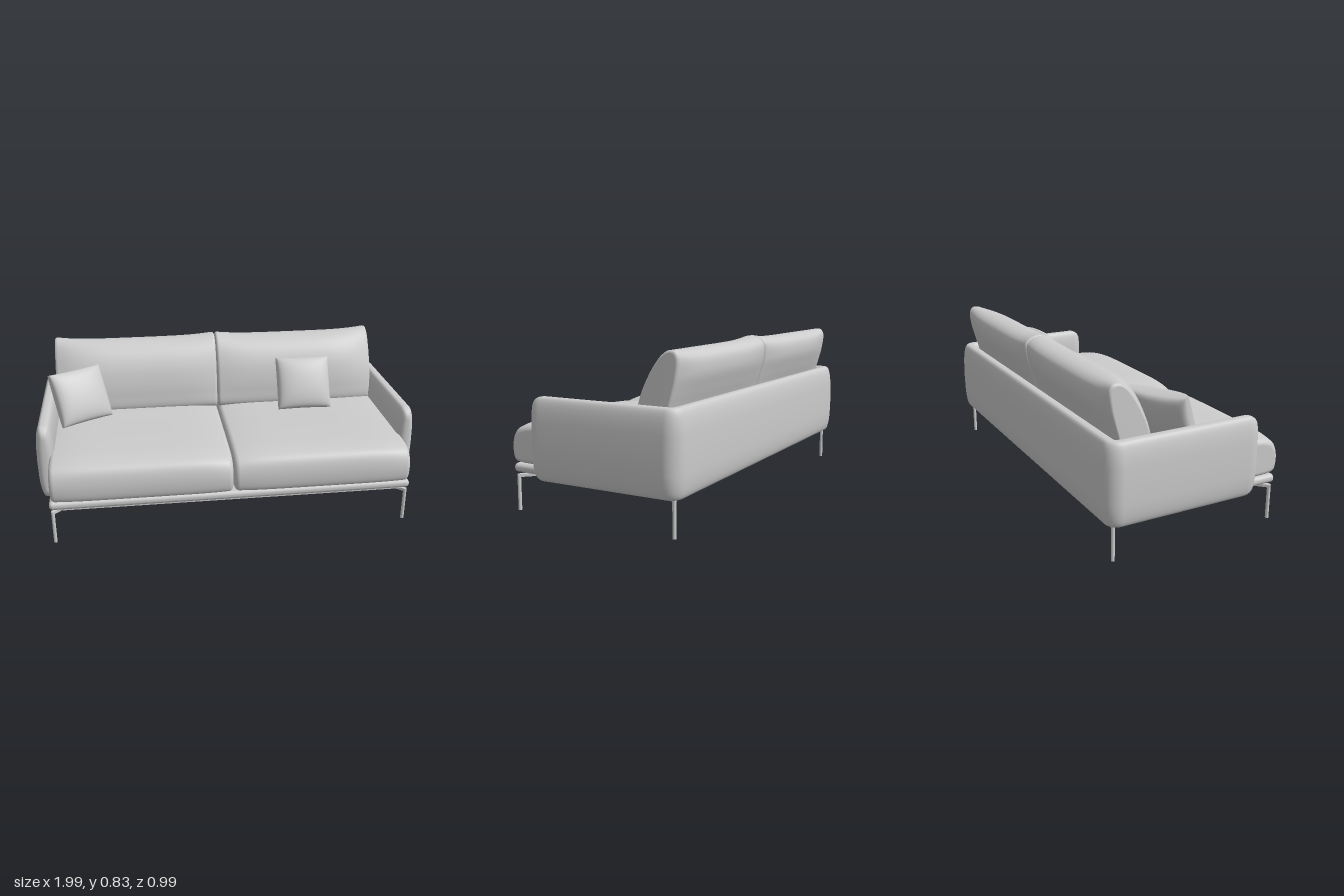
import * as THREE from 'three';
import { mergeVertices } from 'three/addons/utils/BufferGeometryUtils.js';
import { RoundedBoxGeometry } from 'three/addons/geometries/RoundedBoxGeometry.js';

const material = new THREE.MeshStandardMaterial({ color: 0xcccccc });

function add(parent, name, geometry, x = 0, y = 0, z = 0) {
  const mesh = new THREE.Mesh(geometry, material);
  mesh.name = name;
  mesh.position.set(x, y, z);
  parent.add(mesh);
  return mesh;
}

// Skin over closed rings of equal point count, with fanned end caps, facing outwards
function loft(rings) {
  const n = rings[0].length, points = rings.flat(), index = [];
  const centre = (ring) => ring.reduce((s, p) => s.add(p), new THREE.Vector3()).divideScalar(n);
  for (let i = 0; i < rings.length - 1; i++) {
    for (let j = 0; j < n; j++) {
      const a = i * n + j, b = i * n + (j + 1) % n;
      index.push(a, b, b + n, a, b + n, a + n);
    }
  }
  const last = (rings.length - 1) * n, c0 = points.length, c1 = c0 + 1;
  points.push(centre(rings[0]), centre(rings[rings.length - 1]));
  for (let j = 0; j < n; j++) {
    const k = (j + 1) % n;
    index.push(c0, k, j, c1, last + j, last + k);
  }
  let volume = 0;
  const cross = new THREE.Vector3();
  for (let i = 0; i < index.length; i += 3) {
    cross.crossVectors(points[index[i + 1]], points[index[i + 2]]);
    volume += points[index[i]].dot(cross);
  }
  if (volume < 0) index.reverse();
  const geometry = new THREE.BufferGeometry().setFromPoints(points);
  geometry.setIndex(index);
  geometry.computeVertexNormals();
  return geometry;
}

// How far a rounded edge of radius r draws in at distance d from its end
const roundIn = (d, r) => (d >= r ? 0 : r - Math.sqrt(Math.max(0, r * r - (r - d) ** 2)));

// Stations along a length, closer together over the rounded ends
function stations(length, r, middle) {
  const ends = [0, 0.04, 0.14, 0.3, 0.5, 0.75].map((f) => f * r);
  const mid = Array.from({ length: middle + 1 }, (_, i) => r + (length - 2 * r) * i / middle);
  return [...ends, ...mid, ...ends.map((d) => length - d).reverse()];
}

const smoothOutline = (outline) => new THREE.CatmullRomCurve3(
  outline.map(([z, y]) => new THREE.Vector3(0, y, z)), true, 'centripetal')
  .getPoints(outline.length * 6).slice(0, -1);

// Upholstered cushion from the centre seam to the outer end: its middle [z, y] outline
// eases into slimmer ones at both rounded ends; side is 1 for left, -1 for right
function cushion([inner, middle, outer], side, outerX, r, ease) {
  const [a, m, b] = [inner, middle, outer].map(smoothOutline);
  const innerX = 0.003, length = outerX - innerX;
  return loft(stations(length, r, 22).map((d) => {
    const inset = roundIn(Math.min(d, length - d), r), u = 2 * d / length - 1;
    const end = u < 0 ? a : b;
    const ring = m.map((p, i) => p.clone().lerp(end[i], Math.abs(u) ** ease));
    const box = new THREE.Box3().setFromPoints(ring);
    const mid = box.getCenter(new THREE.Vector3()), size = box.getSize(new THREE.Vector3());
    const sy = 1 - 2 * inset / size.y, sz = 1 - 2 * inset / size.z;
    return ring.map((p) => new THREE.Vector3(
      side * (innerX + d), mid.y + (p.y - mid.y) * sy, mid.z + (p.z - mid.z) * sz));
  }));
}

// Padded shell: one bulging section carried round arm, back and arm
function shellGeometry() {
  const X = 0.951, front = 0.32, back = -0.447, r = 0.035, thick = 0.046, high = 0.2025, endR = 0.06;
  const path = [];
  const armLength = front - back - r;
  for (const d of stations(armLength, endR, 12).filter((d) => d < armLength - endR)) {
    const e = roundIn(d, endR);
    path.push({ x: X, z: front - d, nx: 1, nz: 0, t: thick - e * 0.6, h: high - e });
  }
  for (let i = 0; i <= 8; i++) {
    const a = i / 8 * Math.PI / 2, nx = Math.cos(a), nz = -Math.sin(a);
    path.push({ x: X - r + r * nx, z: back + r + r * nz, nx, nz, t: thick, h: high });
  }
  for (let i = 1; i <= 6; i++) path.push({ x: (X - r) * (1 - i / 6), z: back, nx: 0, nz: -1, t: thick, h: high });
  const mirrored = path.slice(0, -1).reverse().map((p) => ({ ...p, x: -p.x, nx: -p.nx }));
  const N = 52;
  return loft([...path, ...mirrored].map((p) => Array.from({ length: N }, (_, j) => {
    const a = j / N * Math.PI * 2, c = Math.cos(a), s = Math.sin(a);
    const up = Math.sign(s) * Math.abs(s) ** 0.4;
    const off = p.t * Math.sign(c) * Math.abs(c) ** 0.55 * (1 - 0.22 * up * up);
    return new THREE.Vector3(p.x + p.nx * off, 0.378 + p.h * up, p.z + p.nz * off);
  })));
}

// Scatter pillow: two plump sheets meeting at a seam, corners slightly drawn out
function pillowGeometry(w, h, t) {
  const box = new THREE.BoxGeometry(2, 2, 2, 28, 28, 1);
  box.deleteAttribute('normal');
  box.deleteAttribute('uv');
  const geometry = mergeVertices(box);
  const p = geometry.attributes.position;
  for (let i = 0; i < p.count; i++) {
    const u = Math.sin(p.getX(i) * Math.PI / 2), v = Math.sin(p.getY(i) * Math.PI / 2);
    const puff = Math.max(0, (1 - u * u) * (1 - v * v)) ** 0.32;
    p.setXYZ(i,
      w / 2 * u * (1 - 0.02 * (1 - v * v) * u * u),
      h / 2 * v * (1 - 0.02 * (1 - u * u) * v * v),
      p.getZ(i) * (0.006 + t / 2 * puff));
  }
  geometry.computeVertexNormals();
  return geometry;
}

export function createModel() {
  const sofa = new THREE.Group();
  sofa.name = 'sofa';

  // Platform under the seat
  add(sofa, 'platform', new RoundedBoxGeometry(1.88, 0.044, 0.91, 4, 0.02), 0, 0.215, 0.013);
  add(sofa, 'undersidePanel', new THREE.BoxGeometry(1.8, 0.02, 0.875), 0, 0.193, 0.01);

  add(sofa, 'armsAndBack', shellGeometry());

  // Seat and back cushions, one pair on each side
  const seat = [
    [0.46, 0.24], [0.485, 0.252], [0.496, 0.315], [0.484, 0.39], [0.46, 0.422], [0.40, 0.44],
    [0.28, 0.449], [0, 0.452], [-0.3, 0.45], [-0.39, 0.43], [-0.4, 0.34], [-0.39, 0.25], [-0.3, 0.238], [0.2, 0.238],
  ];
  const seatEnd = seat.map(([z, y]) => [z > 0.45 ? z - 0.012 : z, y > 0.38 ? y - 0.02 : y]);
  const backLower = [[-0.37, 0.44], [-0.3, 0.42], [-0.235, 0.42]];
  const backMiddle = [
    [-0.185, 0.45], [-0.182, 0.53], [-0.192, 0.61], [-0.215, 0.69], [-0.252, 0.755], [-0.3, 0.797], [-0.355, 0.812],
    [-0.415, 0.803], [-0.447, 0.775], [-0.453, 0.71], [-0.43, 0.63], [-0.405, 0.56], ...backLower,
  ];
  const backInner = [
    [-0.195, 0.45], [-0.2, 0.53], [-0.215, 0.61], [-0.238, 0.69], [-0.273, 0.765], [-0.312, 0.812], [-0.355, 0.83],
    [-0.412, 0.819], [-0.443, 0.788], [-0.44, 0.71], [-0.418, 0.63], [-0.397, 0.56], ...backLower,
  ];
  const backOuter = [
    [-0.225, 0.45], [-0.23, 0.53], [-0.25, 0.61], [-0.288, 0.69], [-0.328, 0.755], [-0.362, 0.797], [-0.397, 0.82],
    [-0.428, 0.818], [-0.444, 0.79], [-0.436, 0.71], [-0.416, 0.63], [-0.396, 0.56], ...backLower,
  ];
  for (const [name, side] of [['left', 1], ['right', -1]]) {
    add(sofa, name + 'SeatCushion', cushion([seatEnd, seat, seatEnd], side, 0.93, 0.024, 5));
    add(sofa, name + 'BackCushion', cushion([backInner, backMiddle, backOuter], side, 0.913, 0.015, 4));
  }

  // Scatter pillows leaning against the back
  for (const [name, x, z, turn] of [['leftPillow', 0.48, -0.122, 0], ['rightPillow', -0.773, -0.087, Math.PI / 6]]) {
    const pillow = add(sofa, name, pillowGeometry(0.3, 0.292, 0.12), x, 0.587, z);
    pillow.rotation.set(-0.46, turn, 0, 'YXZ');
  }

  // Slim legs, each with a flat bracket running diagonally inwards
  for (const sx of [1, -1]) {
    for (const [end, x, z] of [['front', 0.924, 0.447], ['back', 0.936, -0.437]]) {
      const leg = new THREE.Group();
      leg.name = end + (sx > 0 ? 'Left' : 'Right') + 'Leg';
      leg.position.set(sx * x, 0, z);
      add(leg, 'post', new THREE.CylinderGeometry(0.009, 0.009, 0.18, 20), 0, 0.09, 0);
      const sz = Math.sign(z);
      const bracket = add(leg, 'bracket', new THREE.BoxGeometry(0.135, 0.014, 0.02), -sx * 0.045, 0.174, -sz * 0.045);
      bracket.rotation.y = -sx * sz * Math.PI / 4;
      sofa.add(leg);
    }
  }
  return sofa;
}
